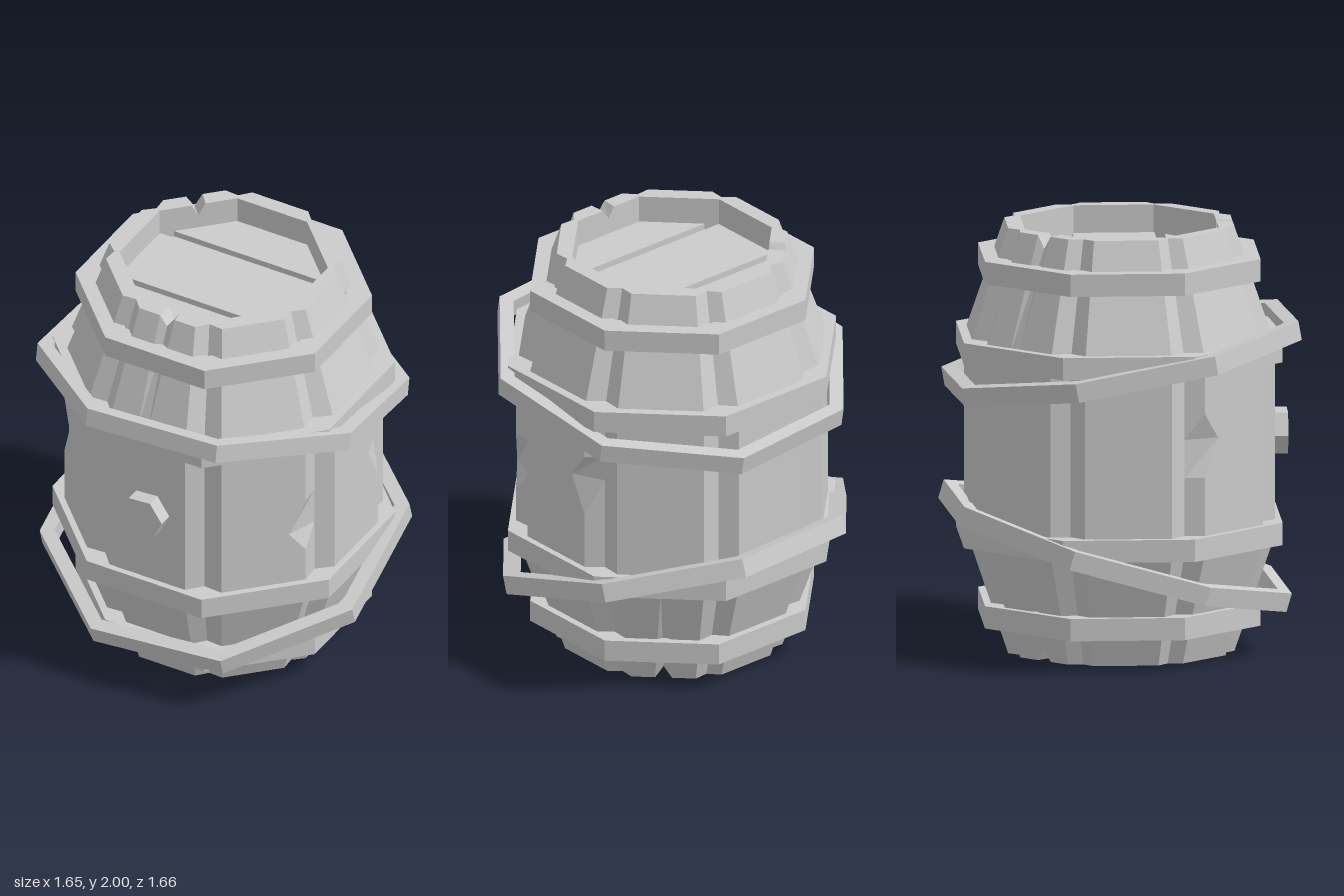
import * as THREE from 'three';

const material = new THREE.MeshStandardMaterial({ color: 0xcccccc, flatShading: true });
const BASE = 0.9;                        // groove depth between staves
const TAN = Math.tan(Math.PI / 8);
const INNER = 0.45;                      // apothem of the rim's inside

function addMesh(parent, name, geometry) {
  const mesh = new THREE.Mesh(geometry, material);
  mesh.name = name;
  parent.add(mesh);
  return mesh;
}

// Eight staves lofted as one closed body with V grooves and recessed ends
function bodyGeometry() {
  // per stave: [offset along the face, depth] relative to the apothem
  const section = [[-TAN * BASE, BASE], [-0.285, 1], [-0.075, 1], [0, 1], [0.075, 1], [0.285, 1]];
  const n = section.length * 8;
  const rings = [
    { y: 0.16, a: 0 }, { y: 0.16, a: INNER, inner: true }, { y: 0, a: INNER, inner: true },
    { y: 0, a: 0.525 }, { y: 0.55, a: 0.71 }, { y: 0.8, a: 0.71 }, { y: 0.9, a: 0.71 },
    { y: 1.08, a: 0.71 }, { y: 1.2, a: 0.71 }, { y: 1.45, a: 0.71 }, { y: 2, a: 0.525 },
    { y: 2, a: INNER, inner: true }, { y: 1.84, a: INNER, inner: true }, { y: 1.84, a: 0 },
  ];
  // chipped stave edges: stave, section point, height, sideways push
  const dents = [[7, 1, 1.08, 0.09], [1, 5, 0.9, -0.08], [2, 5, 1.08, -0.09]];
  // V notches in the rims: stave, height, drop
  const notches = [[0, 2, -0.05], [5, 2, -0.06], [5, 0, 0.06], [3, 0, 0.06]];

  const positions = [], index = [];
  for (const ring of rings) {
    for (let k = 0; k < 8; k++) {
      const angle = k * Math.PI / 4, sin = Math.sin(angle), cos = Math.cos(angle);
      section.forEach(([u, depth], p) => {
        let s = u * ring.a, r = depth * ring.a, y = ring.y;
        if (ring.inner) {
          r = ring.a;
          if (p === 0) s = -TAN * ring.a;
        }
        for (const [stave, point, height, push] of dents)
          if (stave === k && point === p && height === y) s += push;
        for (const [stave, height, drop] of notches)
          if (stave === k && p === 3 && height === ring.y) y += drop;
        positions.push(sin * r + cos * s, y, cos * r - sin * s);
      });
    }
  }
  for (let j = 0; j < rings.length - 1; j++) {
    for (let i = 0; i < n; i++) {
      const a = j * n + i, b = j * n + (i + 1) % n;
      if (rings[j].a > 0) index.push(a, b, b + n);
      if (rings[j + 1].a > 0) index.push(a, b + n, a + n);
      else if (rings[j].a > 0) continue;
    }
  }
  const geometry = new THREE.BufferGeometry();
  geometry.setAttribute('position', new THREE.Float32BufferAttribute(positions, 3));
  geometry.setIndex(index);
  const flat = geometry.toNonIndexed();
  flat.computeVertexNormals();
  return flat;
}

function octagon(apothem, turn) {
  const radius = apothem / Math.cos(Math.PI / 8);
  return Array.from({ length: 8 }, (_, i) => {
    const a = turn + i * Math.PI / 4;
    return new THREE.Vector2(radius * Math.cos(a), radius * Math.sin(a));
  });
}

// Flat extrusion laid horizontally and centred on its own height
function slab(shape, height) {
  return new THREE.ExtrudeGeometry(shape, { depth: height, bevelEnabled: false })
    .translate(0, 0, -height / 2).rotateX(-Math.PI / 2);
}

function hoopGeometry(outer, inner, height, turn) {
  const shape = new THREE.Shape(octagon(outer, turn));
  shape.holes.push(new THREE.Path(octagon(inner, turn)));
  return slab(shape, height);
}

// Three planks that fill an octagonal end, with grooves between
function addPlanks(parent, name, y) {
  const group = new THREE.Group();
  group.name = name;
  group.position.y = y;
  parent.add(group);
  const side = TAN * INNER;
  addMesh(group, 'middlePlank', new THREE.BoxGeometry(INNER * 2, 0.03, 0.38));
  for (const s of [-1, 1]) {
    const x = INNER + side - 0.235;
    const shape = new THREE.Shape([[-x, 0.235], [x, 0.235], [side, INNER], [-side, INNER]]
      .map(([px, py]) => new THREE.Vector2(px, py * s)));
    addMesh(group, s < 0 ? 'frontPlank' : 'backPlank', slab(shape, 0.03));
  }
}

export function createModel() {
  const barrel = new THREE.Group();
  barrel.name = 'barrel';

  addMesh(barrel, 'staves', bodyGeometry());
  addPlanks(barrel, 'lid', 1.855);
  addPlanks(barrel, 'bottom', 0.145);

  // Level hoops
  const hoops = [[0.19, 0.64, 0.53], [0.575, 0.74, 0.63], [1.435, 0.74, 0.63], [1.81, 0.64, 0.53]];
  for (const [y, outer, inner] of hoops) {
    addMesh(barrel, 'hoop', hoopGeometry(outer, inner, 0.105, Math.PI / 8)).position.y = y;
  }

  // Loose hoops that hang at a slant
  const turn = THREE.MathUtils.degToRad(-17.4);
  for (const [y, z, tilt] of [[1.38, 0.01, -0.174], [0.475, -0.02, 0.285]]) {
    const ring = addMesh(barrel, 'looseHoop', hoopGeometry(0.8, 0.735, 0.09, turn));
    ring.position.set(0, y, z);
    ring.rotation.x = tilt;
  }

  // Six-sided stopper on the front
  const stopper = addMesh(barrel, 'stopper',
    new THREE.CylinderGeometry(0.113, 0.113, 0.12, 6).rotateY(Math.PI / 6 + 0.07).rotateX(Math.PI / 2));
  stopper.position.set(0.005, 1.01, 0.72);

  return barrel;
}
